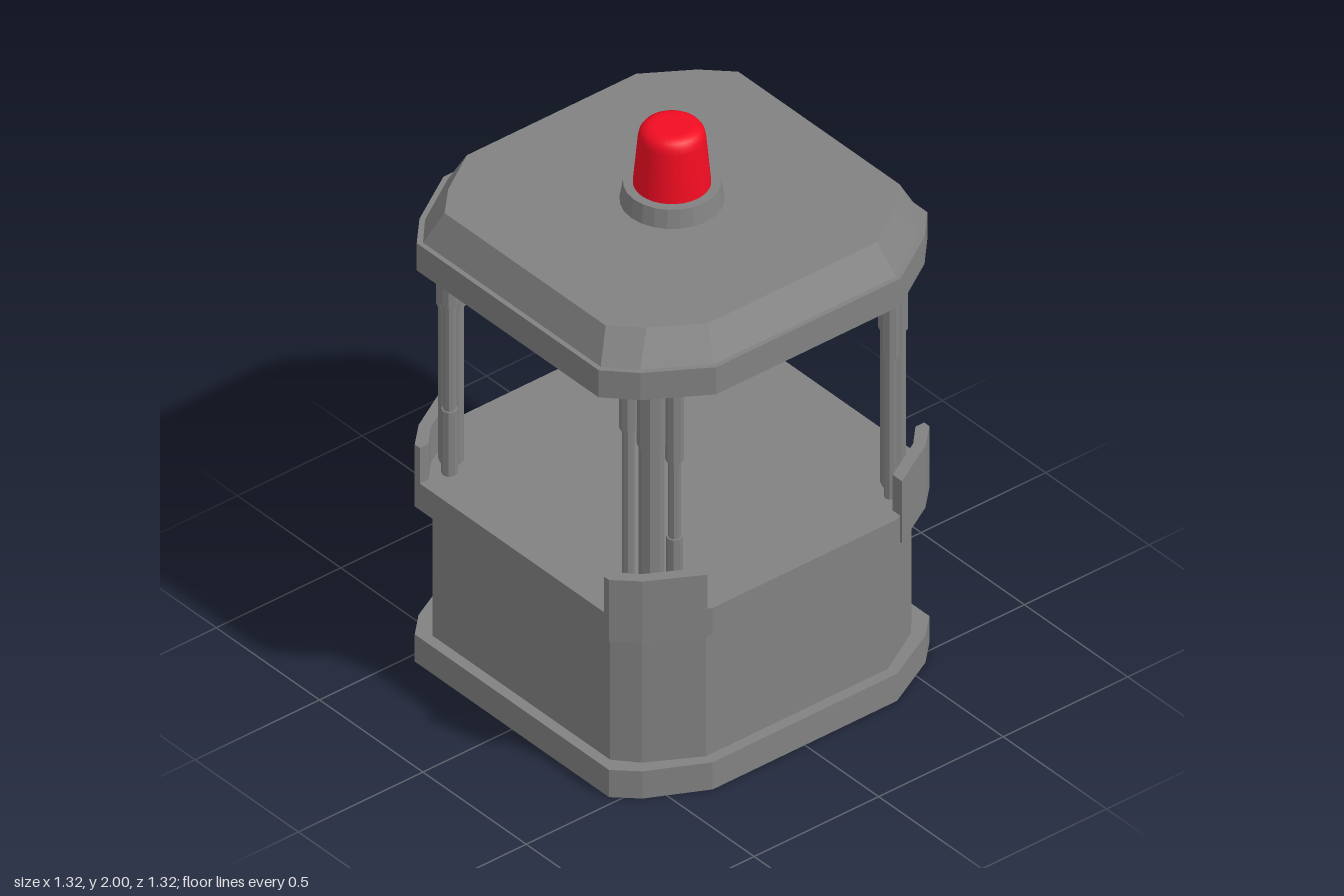
import * as THREE from 'three';

const grey = new THREE.MeshStandardMaterial({ color: 0x828282, flatShading: true });
const red = new THREE.MeshStandardMaterial({ color: 0xf20c22 });

// Closed outline from one corner's three points [x, z], mirrored into all quadrants
function outline(corner) {
  const back = [...corner].reverse();
  return [
    ...corner,
    ...back.map(([x, z]) => [x, -z]),
    ...corner.map(([x, z]) => [-x, -z]),
    ...back.map(([x, z]) => [-x, z]),
  ];
}

// Stack of outlines [corner, y] joined by flat faces and capped at both ends
function loft(name, levels) {
  const rings = levels.map(([c, y]) => outline(c).map(([x, z]) => [x, y, z]));
  const pos = [];
  const tri = (...p) => p.forEach(v => pos.push(...v));
  const n = rings[0].length, last = rings.length - 1;
  for (let i = 0; i < n; i++) {
    const j = (i + 1) % n;
    for (let k = 0; k < last; k++) {
      const a = rings[k], b = rings[k + 1];
      tri(a[i], a[j], b[j]);
      tri(a[i], b[j], b[i]);
    }
    tri([0, levels[0][1], 0], rings[0][j], rings[0][i]);
    tri([0, levels[last][1], 0], rings[last][i], rings[last][j]);
  }
  const geo = new THREE.BufferGeometry();
  geo.setAttribute('position', new THREE.Float32BufferAttribute(pos, 3));
  geo.computeVertexNormals();
  const mesh = new THREE.Mesh(geo, grey);
  mesh.name = name;
  return mesh;
}

// Low curved guard around one corner of the counter
function cornerGuard(sx, sz) {
  const pts = [[0.39, 0.643], [0.568, 0.542], [0.643, 0.47], [0.643, 0.445],
    [0.608, 0.445], [0.545, 0.51], [0.39, 0.598]];
  const shape = new THREE.Shape(pts.map(([x, z]) => new THREE.Vector2(x * sx, -z * sz)));
  const geo = new THREE.ExtrudeGeometry(shape, { depth: 0.235, bevelEnabled: false });
  geo.rotateX(-Math.PI / 2);
  const mesh = new THREE.Mesh(geo, grey);
  mesh.position.y = 0.588;
  mesh.name = 'cornerGuard';
  return mesh;
}

// Cluster of thin rods with sleeves of differing lengths
function post(sx, sz) {
  const group = new THREE.Group();
  group.name = 'roofPost';
  const rod = (name, [x, z], r, y0, y1) => {
    const mesh = new THREE.Mesh(new THREE.CylinderGeometry(r, r, y1 - y0, 8), grey);
    mesh.position.set(x * sx, (y0 + y1) / 2, z * sz);
    mesh.name = name;
    group.add(mesh);
  };
  const centre = [0.485, 0.485], inner = [0.433, 0.534], outer = [0.534, 0.433];
  rod('centreRod', centre, 0.04, 0.68, 1.53);
  rod('centreSleeve', centre, 0.046, 1.275, 1.53);
  for (const side of [inner, outer]) rod('sideRod', side, 0.02, 0.68, 1.53);
  rod('upperSleeve', inner, 0.029, 1.22, 1.53);
  rod('upperSleeve', outer, 0.029, 1.33, 1.53);
  rod('lowerSleeve', sx * sz > 0 ? outer : inner, 0.026, 0.68, 0.93);
  return group;
}

export function createModel() {
  const model = new THREE.Group();
  model.name = 'booth';

  // Booth body
  const wide = [[0.37, 0.643], [0.568, 0.542], [0.643, 0.47]];
  const narrow = [[0.365, 0.605], [0.54, 0.505], [0.605, 0.43]];
  model.add(loft('plinth', [[wide, 0], [wide, 0.103]]));
  model.add(loft('body', [[narrow, 0.103], [narrow, 0.588]]));
  model.add(loft('counter', [[wide, 0.588], [wide, 0.688]]));

  // Corners
  for (const sx of [1, -1]) for (const sz of [1, -1]) {
    model.add(cornerGuard(sx, sz), post(sx, sz));
  }

  // Roof with recessed ceiling, upright rim and sloped edge
  const recess = [[0.23, 0.41], [0.35, 0.33], [0.41, 0.27]];
  const rim = [[0.37, 0.66], [0.57, 0.535], [0.66, 0.44]];
  const slope = [[0.365, 0.643], [0.56, 0.52], [0.643, 0.43]];
  const top = [[0.34, 0.583], [0.5, 0.48], [0.59, 0.39]];
  model.add(loft('roof', [[recess, 1.58], [recess, 1.507], [rim, 1.507],
    [rim, 1.61], [slope, 1.61], [top, 1.72]]));

  // Warning light
  const mount = new THREE.Mesh(new THREE.CylinderGeometry(0.152, 0.163, 0.065, 24), grey);
  mount.position.y = 1.7525;
  mount.name = 'lightMount';
  const profile = [[0.122, 1.78], [0.106, 1.955], [0.102, 1.975], [0.092, 1.99], [0.076, 1.998], [0.06, 2], [0, 2]];
  const lamp = new THREE.Mesh(
    new THREE.LatheGeometry(profile.map(([r, y]) => new THREE.Vector2(r, y)), 32), red);
  lamp.name = 'warningLamp';
  model.add(mount, lamp);

  return model;
}
